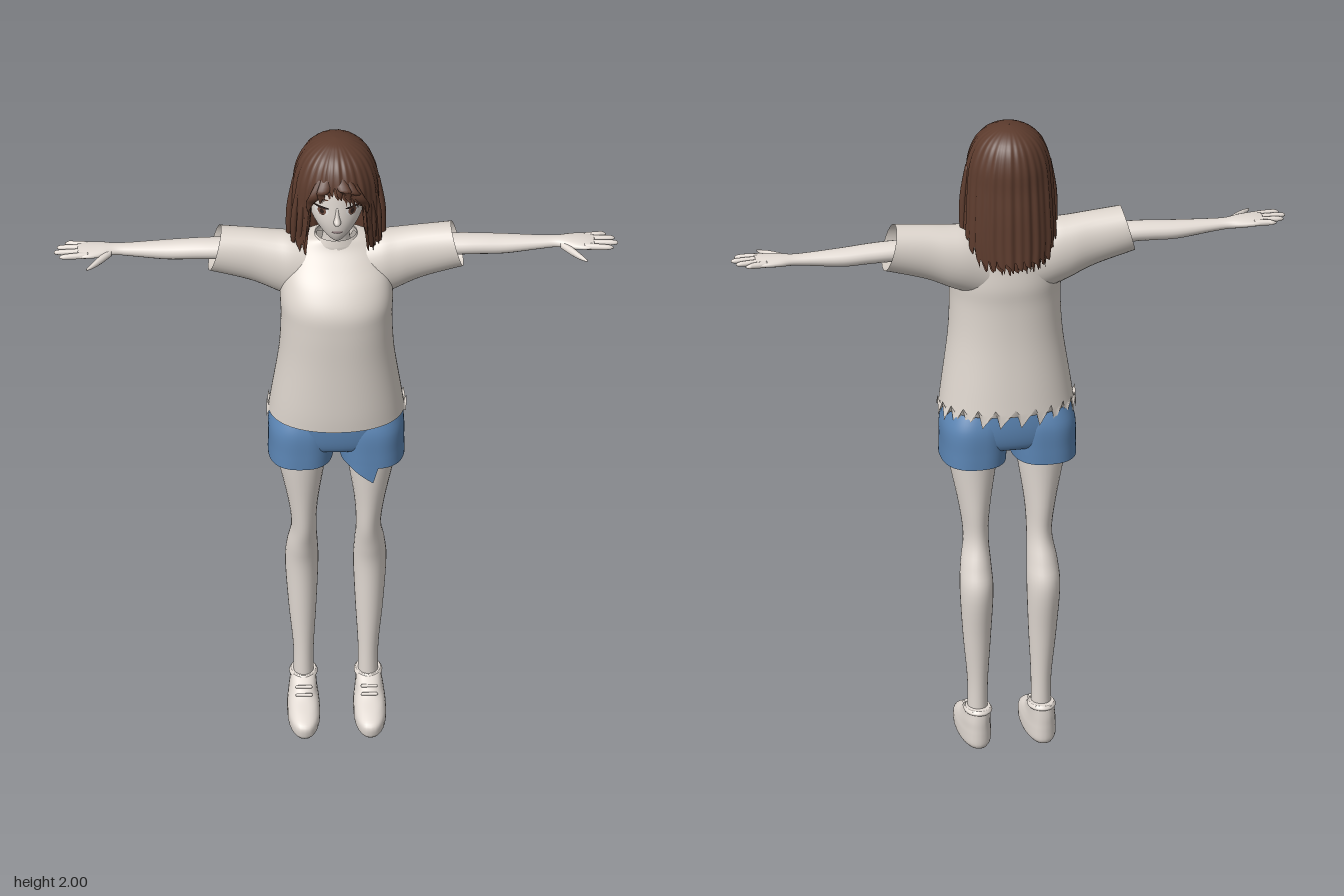
import * as THREE from 'three';

const paint = (name, color, side = THREE.FrontSide) => {
  const m = new THREE.MeshStandardMaterial({ color, side });
  m.name = name;
  return m;
};

// Surface through a grid of points: rows run along the part, columns run around it
function surface(rows, seg, point, capped) {
  const pos = [], index = [];
  for (let i = 0; i < rows; i++)
    for (let j = 0; j < seg; j++) pos.push(...point(i, j, (j / seg) * Math.PI * 2));
  for (let i = 0; i < rows - 1; i++)
    for (let j = 0; j < seg; j++) {
      const k = (j + 1) % seg, a = i * seg + j, b = a + seg, c = i * seg + k, d = c + seg;
      index.push(a, b, c, c, b, d);
    }
  if (capped)
    for (const i of [0, rows - 1]) {
      const mid = [0, 0, 0], n = pos.length / 3;
      for (let j = 0; j < seg; j++) for (let k = 0; k < 3; k++) mid[k] += pos[(i * seg + j) * 3 + k] / seg;
      pos.push(...mid);
      for (let j = 0; j < seg; j++) {
        const a = i * seg + j, b = i * seg + (j + 1) % seg;
        index.push(n, ...(i ? [b, a] : [a, b]));
      }
    }
  const g = new THREE.BufferGeometry();
  g.setAttribute('position', new THREE.Float32BufferAttribute(pos, 3));
  g.setIndex(index);
  g.computeVertexNormals();
  return g;
}

// Catmull-Rom smoothing of a list of cross-sections
function smooth(rows, steps = 5) {
  const out = [], at = (i) => rows[Math.max(0, Math.min(rows.length - 1, i))];
  for (let i = 0; i < rows.length - 1; i++)
    for (let s = 0; s < steps; s++) {
      const t = s / steps;
      out.push(rows[0].map((_, k) => {
        const [a, b, c, d] = [at(i - 1)[k], at(i)[k], at(i + 1)[k], at(i + 2)[k]];
        return b + 0.5 * t * (c - a + t * (2 * a - 5 * b + 4 * c - d + t * (3 * (b - c) + d - a)));
      }));
    }
  out.push(rows[rows.length - 1]);
  return out;
}

// Cross-section at a given height
function sectionAt(rows, y) {
  let i = 0;
  while (i < rows.length - 2 && rows[i + 1][0] < y) i++;
  const a = rows[i], b = rows[i + 1], t = THREE.MathUtils.clamp((y - a[0]) / (b[0] - a[0]), 0, 1);
  return a.map((v, k) => v + (b[k] - v) * t);
}

// Upright loft, rows [y, x, z, rx, rz]
function loftY(rows, { seg = 28, capped = true, power = 1, tweak } = {}) {
  const r = smooth(rows), bend = (v) => Math.sign(v) * Math.abs(v) ** power;
  return surface(r.length, seg, (i, j, a) => {
    const [y, x, z, rx, rz] = r[i];
    const p = [x + rx * bend(Math.cos(a)), y, z + rz * bend(Math.sin(a))];
    if (tweak) tweak(p, i, j, a);
    return p;
  }, capped);
}

// Sideways loft, rows [x, y, z, ry, rz]
function loftX(rows, { seg = 20, capped = true, tweak } = {}) {
  const r = smooth(rows);
  return surface(r.length, seg, (i, j, a) => {
    const [x, y, z, ry, rz] = r[i];
    const p = [x, y + ry * Math.cos(a), z - rz * Math.sin(a)];
    if (tweak) tweak(p, i, j, a);
    return p;
  }, capped);
}

function mirrored(geo) {
  const g = geo.clone().scale(-1, 1, 1), ix = g.index.array;
  for (let i = 0; i < ix.length; i += 3) [ix[i], ix[i + 1]] = [ix[i + 1], ix[i]];
  g.computeVertexNormals();
  return g;
}

export function createModel() {
  const model = new THREE.Group();
  const skin = paint('skin', 0xe2dad3);
  const cloth = paint('shirt cloth', 0xdcd4cc, THREE.DoubleSide);
  const denim = paint('denim', 0x5c86b5, THREE.DoubleSide);
  const hair = paint('hair', 0x5c3b2d, THREE.DoubleSide);
  const white = paint('eye white', 0xf0eeec, THREE.DoubleSide);
  const dark = paint('eye dark', 0x2c201d, THREE.DoubleSide);
  const brown = paint('iris', 0x6d4a3c, THREE.DoubleSide);
  const lip = paint('lips', 0xa58f90, THREE.DoubleSide);
  const add = (name, geo, mat) => {
    const m = new THREE.Mesh(geo, mat);
    m.name = name;
    model.add(m);
  };
  const pair = (name, geo, mat) => {
    add('left' + name, geo, mat);
    add('right' + name, mirrored(geo), mat);
  };

  // Legs and shoes
  pair('Leg', loftY([[0.07, 0.095, -0.03, 0.03, 0.035], [0.2, 0.095, -0.032, 0.03, 0.038],
    [0.35, 0.098, -0.037, 0.041, 0.048], [0.5, 0.1, -0.043, 0.049, 0.062], [0.58, 0.099, -0.025, 0.045, 0.06],
    [0.66, 0.095, -0.003, 0.037, 0.058], [0.76, 0.098, 0.003, 0.046, 0.067], [0.92, 0.102, 0.01, 0.074, 0.08],
    [1, 0.1, 0.005, 0.08, 0.085]]), skin);
  pair('Shoe', loftY([[0, 0.097, 0.04, 0.038, 0.122], [0.012, 0.097, 0.041, 0.047, 0.128],
    [0.04, 0.097, 0.04, 0.048, 0.128], [0.06, 0.097, 0.022, 0.045, 0.11], [0.08, 0.097, -0.006, 0.041, 0.082],
    [0.1, 0.096, -0.022, 0.038, 0.065], [0.118, 0.095, -0.037, 0.036, 0.048]], { power: 0.85 }), skin);
  pair('ShoeCollar', loftY([[0.105, 0.095, -0.036, 0.037, 0.048], [0.112, 0.095, -0.037, 0.042, 0.053],
    [0.122, 0.095, -0.037, 0.036, 0.046]]), skin);
  for (const [y, z] of [[0.088, 0.062], [0.102, 0.04]])
    pair('ShoeLace', new THREE.CapsuleGeometry(0.005, 0.04, 4, 8).rotateZ(Math.PI / 2).translate(0.096, y, z), skin);

  // Shorts: a seat and two open legs, the left one with a torn point
  add('shortsSeat', loftY([[0.965, 0, 0, 0.14, 0.085], [0.985, 0, 0, 0.19, 0.112], [1.05, 0, 0.002, 0.196, 0.122],
    [1.16, 0, 0.01, 0.165, 0.115]], { seg: 40, power: 0.85 }), denim);
  const shortsLeg = (tweak) => loftY([[0.925, 0.105, 0, 0.096, 0.122], [0.97, 0.103, 0, 0.097, 0.122],
    [1.04, 0.1, 0, 0.098, 0.12], [1.1, 0.09, 0, 0.085, 0.1]], { seg: 64, capped: false, power: 0.8, tweak });
  add('leftShortsLeg', shortsLeg((p, i) => {
    if (i === 0 && p[2] > 0 && p[0] > 0.03 && p[0] < 0.108) p[1] -= (p[0] - 0.03) * 0.68;
  }), denim);
  add('rightShortsLeg', mirrored(shortsLeg()), denim);

  // Shirt: body with a ragged back hem, wide open sleeves, pointed collar
  add('shirtBody', loftY([[1.085, 0, 0.016, 0.2, 0.15], [1.15, 0, 0.022, 0.191, 0.147], [1.3, 0, 0.032, 0.17, 0.137],
    [1.42, 0, 0.036, 0.164, 0.134], [1.49, 0, 0.032, 0.166, 0.132], [1.55, 0, 0.018, 0.16, 0.112],
    [1.6, 0, -0.002, 0.147, 0.087], [1.64, 0, -0.014, 0.128, 0.064], [1.665, 0, -0.02, 0.1, 0.055],
    [1.675, 0, -0.018, 0.062, 0.05]], {
    seg: 96, capped: false, power: 0.92,
    tweak: (p, i, j) => {
      if (i === 0 && (j > 46 || j < 3)) {
        p[1] += 0.03 - 0.058 * ((j % 4) / 3);
        p[0] *= 1.03;
      }
    },
  }), cloth);
  pair('Sleeve', loftX([[0.07, 1.55, -0.012, 0.11, 0.075], [0.13, 1.57, -0.014, 0.105, 0.077],
    [0.18, 1.583, -0.017, 0.097, 0.072], [0.25, 1.604, -0.018, 0.083, 0.064], [0.357, 1.626, -0.018, 0.069, 0.063]], {
    seg: 32, capped: false, tweak: (p, i, j, a) => { p[0] -= 0.018 * Math.cos(a) * Math.max(0, (p[0] - 0.2) / 0.15); },
  }), cloth);
  add('collar', loftY([[1.655, 0, -0.014, 0.075, 0.058], [1.668, 0, -0.014, 0.068, 0.056], [1.68, 0, -0.012, 0.06, 0.052]], {
    seg: 48, capped: false, tweak: (p, i, j) => { if (i === 0) p[1] -= (j % 6) * 0.004; },
  }), cloth);

  // Arms and hands
  pair('Arm', loftX([[0.2, 1.615, -0.027, 0.035, 0.04], [0.35, 1.618, -0.028, 0.03, 0.039],
    [0.42, 1.617, -0.029, 0.029, 0.037], [0.5, 1.614, -0.031, 0.027, 0.034], [0.6, 1.617, -0.031, 0.019, 0.025],
    [0.65, 1.619, -0.031, 0.016, 0.023], [0.69, 1.62, -0.027, 0.016, 0.035], [0.73, 1.621, -0.024, 0.013, 0.042],
    [0.76, 1.621, -0.023, 0.009, 0.039]]), skin);
  [[0.795, -0.06], [0.82, -0.038], [0.83, -0.013], [0.815, 0.012]].forEach(([tip, z]) =>
    pair('Finger', loftX([[0.73, 1.621, z * 0.75 - 0.006, 0.01, 0.011], [0.77, 1.622, z * 0.9 - 0.002, 0.009, 0.0095],
      [tip - 0.012, 1.622, z, 0.007, 0.008], [tip, 1.621, z, 0.002, 0.003]], { seg: 10 }), skin));
  pair('Thumb', loftX([[0.66, 1.617, -0.018, 0.011, 0.016], [0.69, 1.614, 0.014, 0.012, 0.016],
    [0.715, 1.612, 0.042, 0.009, 0.012], [0.737, 1.611, 0.066, 0.003, 0.004]], { seg: 12 }), skin);

  // Head, neck and nose
  const skull = [[1.705, 0, 0.06, 0.01, 0.016], [1.715, 0, 0.05, 0.026, 0.034], [1.74, 0, 0.028, 0.052, 0.066],
    [1.78, 0, 0.01, 0.076, 0.09], [1.83, 0, 0, 0.086, 0.098], [1.89, 0, -0.012, 0.09, 0.102],
    [1.94, 0, -0.02, 0.075, 0.085], [1.97, 0, -0.025, 0.04, 0.045]];
  add('head', loftY(skull, { seg: 40 }), skin);
  add('neck', loftY([[1.62, 0, -0.02, 0.05, 0.045], [1.68, 0, -0.012, 0.039, 0.039], [1.75, 0, -0.005, 0.039, 0.04]]), skin);
  add('nose', loftY([[1.772, 0, 0.096, 0.004, 0.004], [1.785, 0, 0.1, 0.011, 0.017], [1.805, 0, 0.096, 0.007, 0.011],
    [1.835, 0, 0.092, 0.004, 0.006]], { seg: 14 }), skin);

  // Thin facial details laid onto the curve of the face
  const face = smooth(skull);
  const patch = (x, y, rx, ry, lift) => {
    const g = new THREE.RingGeometry(0, 1, 24, 3).scale(rx, ry, 1).translate(x, y, 0), p = g.attributes.position;
    for (let i = 0; i < p.count; i++) {
      const [, , cz, w, d] = sectionAt(face, p.getY(i));
      p.setZ(i, cz + d * Math.sqrt(Math.max(0, 1 - (p.getX(i) / w) ** 2)) + lift);
    }
    g.computeVertexNormals();
    return g;
  };
  pair('EyeWhite', patch(0.046, 1.82, 0.02, 0.014, 0.002), white);
  pair('Iris', patch(0.045, 1.821, 0.012, 0.014, 0.004), brown);
  pair('Pupil', patch(0.045, 1.821, 0.006, 0.008, 0.006), dark);
  pair('Eyelash', patch(0.047, 1.834, 0.023, 0.004, 0.006), dark);
  pair('Eyebrow', patch(0.047, 1.86, 0.022, 0.003, 0.003), hair);
  add('mouth', patch(0, 1.75, 0.017, 0.005, 0.003), lip);

  // Hair shells, opened around the face and ragged along the hem
  const hairForm = smooth([[1.56, 0, -0.04, 0.125, 0.132], [1.65, 0, -0.035, 0.135, 0.132], [1.75, 0, -0.03, 0.132, 0.132],
    [1.83, 0, -0.024, 0.128, 0.13], [1.89, 0, -0.024, 0.121, 0.127], [1.94, 0, -0.026, 0.103, 0.111],
    [1.97, 0, -0.028, 0.08, 0.088], [1.988, 0, -0.03, 0.052, 0.058], [1.996, 0, -0.03, 0.03, 0.034], [2, 0, -0.03, 0.001, 0.001]]);
  const hairShell = (scale, drop, shift) => surface(26, 180, (i, j, a) => {
    const off = Math.abs(Math.atan2(Math.cos(a), Math.sin(a))) * 180 / Math.PI; // degrees from the front
    const jag = ((j * 7 + shift) % 9) / 9 * 0.012 + ((j + shift) % 6) / 6 * 0.035;
    const fringe = 1.875 - 0.05 * Math.min(1, Math.abs(Math.cos(a) + 0.12) / 0.6);
    const side = off < 95 ? 1.645 : 1.645 - 0.07 * Math.min(1, (off - 95) / 35);
    const hem = THREE.MathUtils.lerp(fringe, side, THREE.MathUtils.smoothstep(off, 38, 45)) + jag + drop;
    const s = i / 25, y = 2 - (2 - hem) * (1 - s) ** 2;
    const [, , z, rx, rz] = sectionAt(hairForm, y);
    const k = scale * (1 + (0.018 * Math.sin(a * 30 + shift) + 0.012 * Math.sin(a * 17)) * (1 - s * s));
    return [rx * k * Math.cos(a), y - (1 - scale) * 0.1, z + rz * k * Math.sin(a)];
  });
  add('outerHair', hairShell(1, 0, 0), hair);
  add('innerHair', hairShell(0.93, -0.003, 4), hair);

  // Loose locks: fringe swept from the parting, then strands beside the face
  [[-0.025, -0.05, 1.85], [-0.03, -0.085, 1.81], [0.0, 0.035, 1.86], [0.01, 0.065, 1.845], [0.02, 0.09, 1.8]]
    .forEach(([root, tip, y]) => {
      const z = (x) => -0.02 + 0.125 * Math.sqrt(1 - (x / 0.135) ** 2);
      const mid = root * 0.45 + tip * 0.55;
      add('fringeLock', loftY([[y, tip, z(tip), 0.001, 0.001], [y + 0.03, tip * 0.9 + root * 0.1, z(tip), 0.012, 0.006],
        [(y + 1.95) / 2, mid, z(mid) - 0.003, 0.019, 0.008], [1.955, root, 0.055, 0.008, 0.006]], { seg: 10 }), hair);
    });
  [[0.088, 0.055, 1.68], [0.105, 0.04, 1.655], [0.122, 0.02, 1.64], [0.135, -0.015, 1.63]].forEach(([x, z, y]) =>
    pair('SideLock', loftY([[y, x + 0.008, z - 0.012, 0.001, 0.001], [y + 0.04, x + 0.003, z - 0.006, 0.009, 0.01],
      [1.77, x, z, 0.011, 0.014], [1.87, x - 0.012, z, 0.006, 0.01]], { seg: 10 }), hair));

  return model;
}
